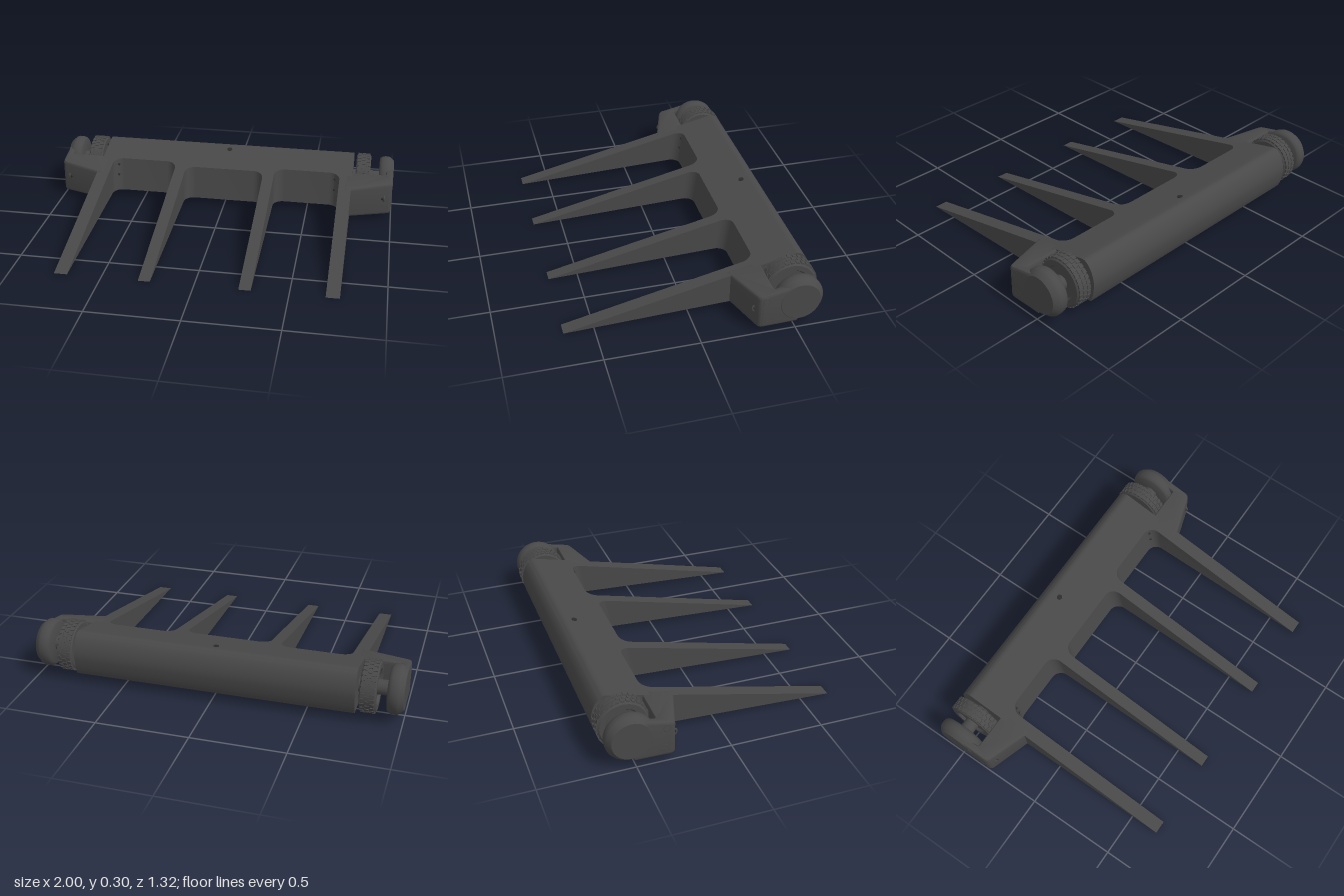
import * as THREE from 'three';
import { mergeGeometries, toCreasedNormals } from 'three/addons/utils/BufferGeometryUtils.js';

const dark = new THREE.MeshStandardMaterial({ color: 0x484848 });
const black = new THREE.MeshStandardMaterial({ color: 0x2c2c2c });

// Wedge surfaces: height of the top and the bottom at depth z
const topY = (z) => 0.229 * (0.66 - z);
const bottomY = (z) => 0.0388 * (0.66 - z);
const LEAN = 0.155;
const AXLE = { y: 0.16, z: -0.52 };

function part(name, geometry, material = dark) {
  const mesh = new THREE.Mesh(geometry, material);
  mesh.name = name;
  return mesh;
}

// Extrude a plan (x, -z) upward and fit it between the wedge surfaces
function wedgeFromPlan(shape, lean, inset, options = {}) {
  const g = new THREE.ExtrudeGeometry(shape, { depth: 1, bevelEnabled: false, curveSegments: 8, ...options });
  g.rotateX(-Math.PI / 2);
  const p = g.attributes.position;
  for (let i = 0; i < p.count; i++) {
    const z0 = p.getZ(i), t = p.getY(i);
    const z = z0 - lean * t * (topY(z0) - bottomY(z0));
    const lo = bottomY(z) - inset, hi = topY(z) + inset;
    p.setXYZ(i, p.getX(i), lo + (hi - lo) * t, z);
  }
  g.computeVertexNormals();
  return toCreasedNormals(g, 0.5);
}

// Cylinder lying along x, from x0 to x1
function barX(x0, x1, r, segments = 32) {
  return new THREE.CylinderGeometry(r, r, x1 - x0, segments).rotateZ(-Math.PI / 2)
    .translate((x0 + x1) / 2, AXLE.y, AXLE.z);
}

// Lathe about the axle from [radius, x] points
function latheX(points) {
  const g = new THREE.LatheGeometry(points.map(([r, x]) => new THREE.Vector2(r, x)), 48);
  return toCreasedNormals(g.rotateZ(-Math.PI / 2).translate(0, AXLE.y, AXLE.z), 0.6);
}

function makeFork() {
  const s = new THREE.Shape();
  s.moveTo(-0.76, 0.5);
  s.lineTo(-0.76, -0.66);
  // Three rounded pockets between four tines
  for (const [a, b, back] of [[-0.687, -0.3, 0.34], [-0.235, 0.235, 0.305], [0.3, 0.687, 0.34]]) {
    const r = 0.06;
    s.lineTo(a, -0.66);
    s.lineTo(a, back - r);
    s.absarc(a + r, back - r, r, Math.PI, Math.PI / 2, true);
    s.absarc(b - r, back - r, r, Math.PI / 2, 0, true);
    s.lineTo(b, -0.66);
  }
  s.lineTo(0.76, -0.66);
  s.lineTo(0.76, 0.5);
  return part('fork', wedgeFromPlan(s, LEAN, 0));
}

function makeRearHousing() {
  const zTop = -0.5 - LEAN * (topY(-0.5) - bottomY(-0.5));
  const s = new THREE.Shape();
  s.moveTo(0.5, bottomY(-0.5));
  s.lineTo(0.63, bottomY(-0.63));
  s.quadraticCurveTo(0.65, 0.09, 0.655, 0.15);
  s.bezierCurveTo(0.66, 0.21, 0.62, 0.293, 0.57, topY(-0.57));
  s.lineTo(-zTop, topY(zTop));
  const g = new THREE.ExtrudeGeometry(s, { depth: 1.52, bevelEnabled: false, curveSegments: 14 });
  return part('rearHousing', toCreasedNormals(g.rotateY(Math.PI / 2).translate(-0.76, 0, 0), 0.5));
}

function makeWheel() {
  const wheel = new THREE.Group();
  wheel.name = 'wheel';
  wheel.add(part('tyre', latheX([
    [0.04, 0.79], [0.085, 0.79], [0.095, 0.777], [0.124, 0.777], [0.136, 0.787],
    [0.136, 0.853], [0.124, 0.863], [0.095, 0.863], [0.085, 0.85], [0.04, 0.85],
  ])));
  // Staggered rows of tread lugs
  const lugs = [];
  const count = 30;
  for (let row = -1; row <= 1; row++) {
    for (let i = 0; i < count; i++) {
      const angle = ((i + (row === 0 ? 0.5 : 0)) / count) * Math.PI * 2;
      lugs.push(new THREE.BoxGeometry(0.021, 0.012, 0.021).translate(0.82 + row * 0.026, 0.134, 0)
        .rotateX(angle).translate(0, AXLE.y, AXLE.z));
    }
  }
  wheel.add(part('tread', mergeGeometries(lugs)));
  wheel.add(part('axle', barX(0.75, 0.93, 0.04)));
  return wheel;
}

function makeArm() {
  // Swept bracket that wraps around the outside of the wheel
  const s = new THREE.Shape();
  s.moveTo(0.73, 0.378);
  s.lineTo(0.73, 0.222);
  s.lineTo(0.77, 0.237);
  s.lineTo(0.975, 0.303);
  s.quadraticCurveTo(0.988, 0.308, 0.988, 0.325);
  s.lineTo(0.988, 0.5);
  s.lineTo(0.965, 0.5);
  s.lineTo(0.965, 0.395);
  s.quadraticCurveTo(0.963, 0.378, 0.945, 0.378);
  return part('arm', wedgeFromPlan(s, 0, 0.004, {
    depth: 0.84, bevelEnabled: true, bevelThickness: 0.08, bevelSize: 0.01, bevelSegments: 3,
  }).translate(0, 0.012, 0));
}

function makeBolts() {
  // Sockets set into the slanted front of the arm
  const bolts = new THREE.Group();
  bolts.name = 'bolts';
  for (const [z, y] of [[-0.34, 0.195], [-0.295, 0.13], [-0.355, 0.08]]) {
    const x = z < -0.32 ? 0.99 : 0.95;
    const ring = part('boltRim', new THREE.TorusGeometry(0.018, 0.005, 8, 20).rotateY(Math.PI / 2));
    const head = part('boltHead', new THREE.CylinderGeometry(0.015, 0.015, 0.02, 20).rotateZ(Math.PI / 2), black);
    ring.position.set(x + 0.004, y, z);
    head.position.set(x - 0.004, y, z);
    bolts.add(ring, head);
  }
  return bolts;
}

function makeSide() {
  const side = new THREE.Group();
  side.name = 'wheelSide';
  side.add(makeWheel(), makeArm(), makeBolts());
  // Chamfered round cap over the end of the arm
  side.add(part('endCap', latheX([
    [0, 0.915], [0.112, 0.915], [0.121, 0.92], [0.128, 0.932], [0.13, 0.948],
    [0.13, 0.965], [0.126, 0.975], [0.108, 0.996], [0.104, 1], [0, 1],
  ])));
  // Small holes in the corner of the outer pocket
  for (const y of [0.2, 0.137]) {
    const hole = part('pocketHole', new THREE.SphereGeometry(0.008, 10, 8), black);
    hole.position.set(0.66, y, -0.332 - LEAN * (y - 0.04));
    side.add(hole);
  }
  return side;
}

export function createModel() {
  const model = new THREE.Group();
  model.name = 'wheeledFork';
  model.add(makeFork(), makeRearHousing());

  const left = makeSide();
  const right = left.clone();
  right.scale.x = -1;
  model.add(left, right);

  // Screw on the top
  const screw = part('topScrew', new THREE.CylinderGeometry(0.015, 0.015, 0.008, 20), black);
  screw.position.set(0, topY(-0.53), -0.53);
  screw.rotation.x = 0.225;
  model.add(screw);

  // Screws along the underside
  for (const [x, z, r] of [[0.015, -0.48, 0.008], [0.35, -0.48, 0.008], [0.6, -0.48, 0.008], [0.7, -0.57, 0.02]]) {
    for (const sign of [-1, 1]) {
      const s = part('bottomScrew', new THREE.CylinderGeometry(r, r, 0.006, 16), black);
      s.position.set(sign * x, bottomY(z), z);
      s.rotation.x = 0.039;
      model.add(s);
    }
  }
  return model;
}
